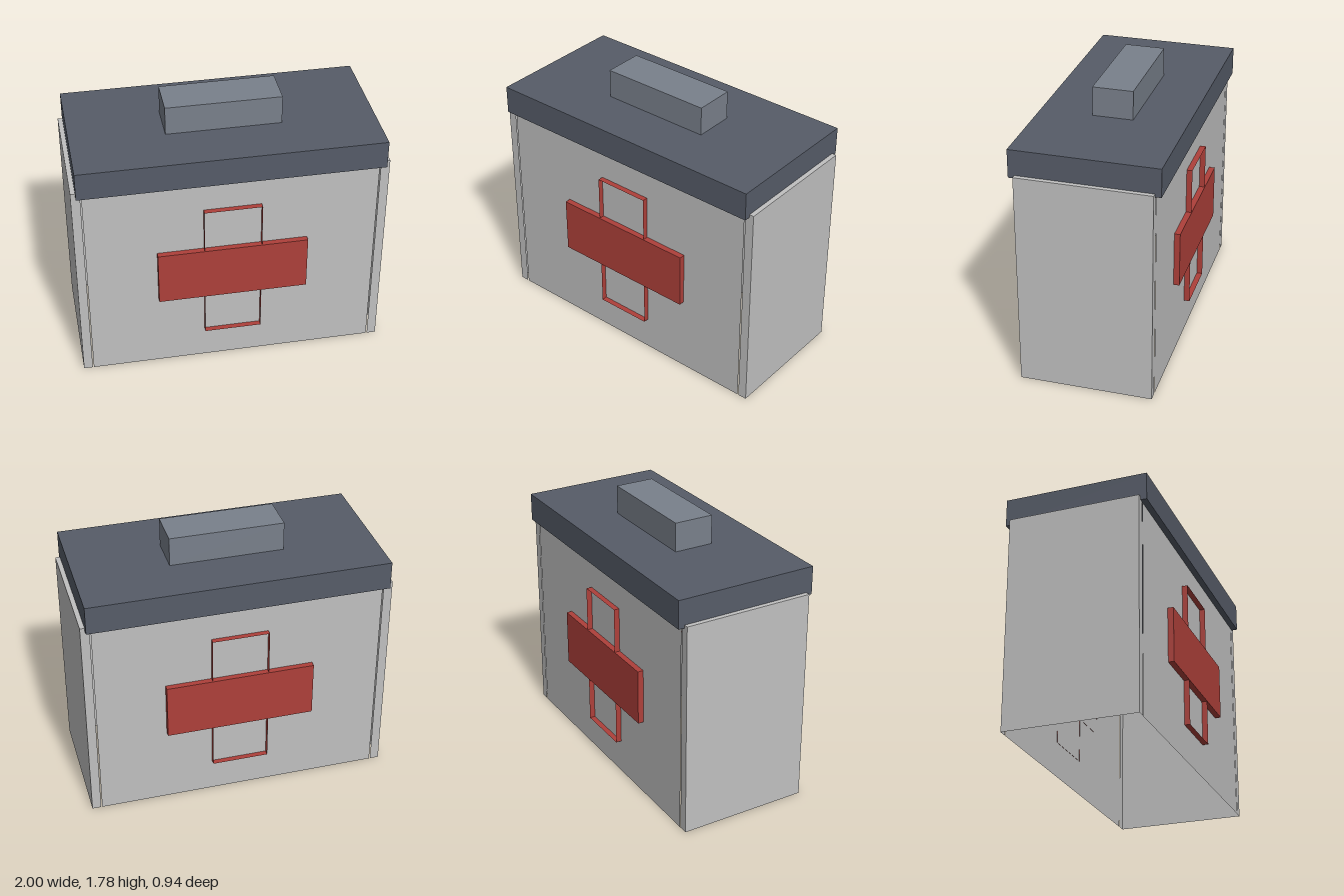
import * as THREE from 'three';

const material = (name, color, side = THREE.FrontSide) =>
  Object.assign(new THREE.MeshStandardMaterial({ color, side }), { name });

// Box between two corners, keeping only the listed faces (px nx py ny pz nz)
const FACES = ['px', 'nx', 'py', 'ny', 'pz', 'nz'];
function shell(name, mat, [x0, y0, z0], [x1, y1, z1], faces = FACES) {
  const geometry = new THREE.BoxGeometry(x1 - x0, y1 - y0, z1 - z0);
  const all = Array.from(geometry.index.array);
  geometry.setIndex(faces.flatMap((f) => {
    const start = FACES.indexOf(f) * 6;
    return all.slice(start, start + 6);
  }));
  geometry.clearGroups();
  geometry.translate((x0 + x1) / 2, (y0 + y1) / 2, (z0 + z1) / 2);
  const mesh = new THREE.Mesh(geometry, mat);
  mesh.name = name;
  return mesh;
}

export function createModel() {
  const wall = material('wall grey', 0xc0c0c0, THREE.DoubleSide);
  const red = material('cross red', 0xae403a, THREE.DoubleSide);
  const slate = material('lid slate', 0x565c68);
  const steel = material('handle steel', 0x79808b);

  const model = new THREE.Group();
  model.name = 'firstAidCase';

  // Lid and handle
  model.add(
    shell('lid', slate, [-0.97, 1.405, -0.47], [0.97, 1.59, 0.47]),
    shell('handle', steel, [-0.37, 1.59, -0.13], [0.37, 1.78, 0.13]),
  );

  // Side panels: hollow, open towards the inside and the ground
  model.add(
    shell('leftPanel', wall, [0.942, 0, -0.43], [1, 1.425, 0.43], ['px', 'py', 'pz', 'nz']),
    shell('rightPanel', wall, [-1, 0, -0.43], [-0.942, 1.425, 0.43], ['nx', 'py', 'pz', 'nz']),
  );

  // Front and back: a thin sheet carrying a raised cross
  for (const [name, turn] of [['front', 0], ['back', Math.PI]]) {
    const side = new THREE.Group();
    side.name = `${name}Side`;
    side.rotation.y = turn;
    side.add(
      shell(`${name}Panel`, wall, [-0.935, 0, 0.42], [0.935, 1.415, 0.43], ['pz']),
      // Horizontal bar, open at the back
      shell('crossBar', red, [-0.485, 0.53, 0.428], [0.485, 0.9, 0.468],
        ['px', 'nx', 'py', 'ny', 'pz']),
      // Vertical bar, an open rim only
      shell('crossRim', red, [-0.185, 0.23, 0.428], [0.185, 1.2, 0.467],
        ['px', 'nx', 'py', 'ny']),
    );
    model.add(side);
  }
  return model;
}
